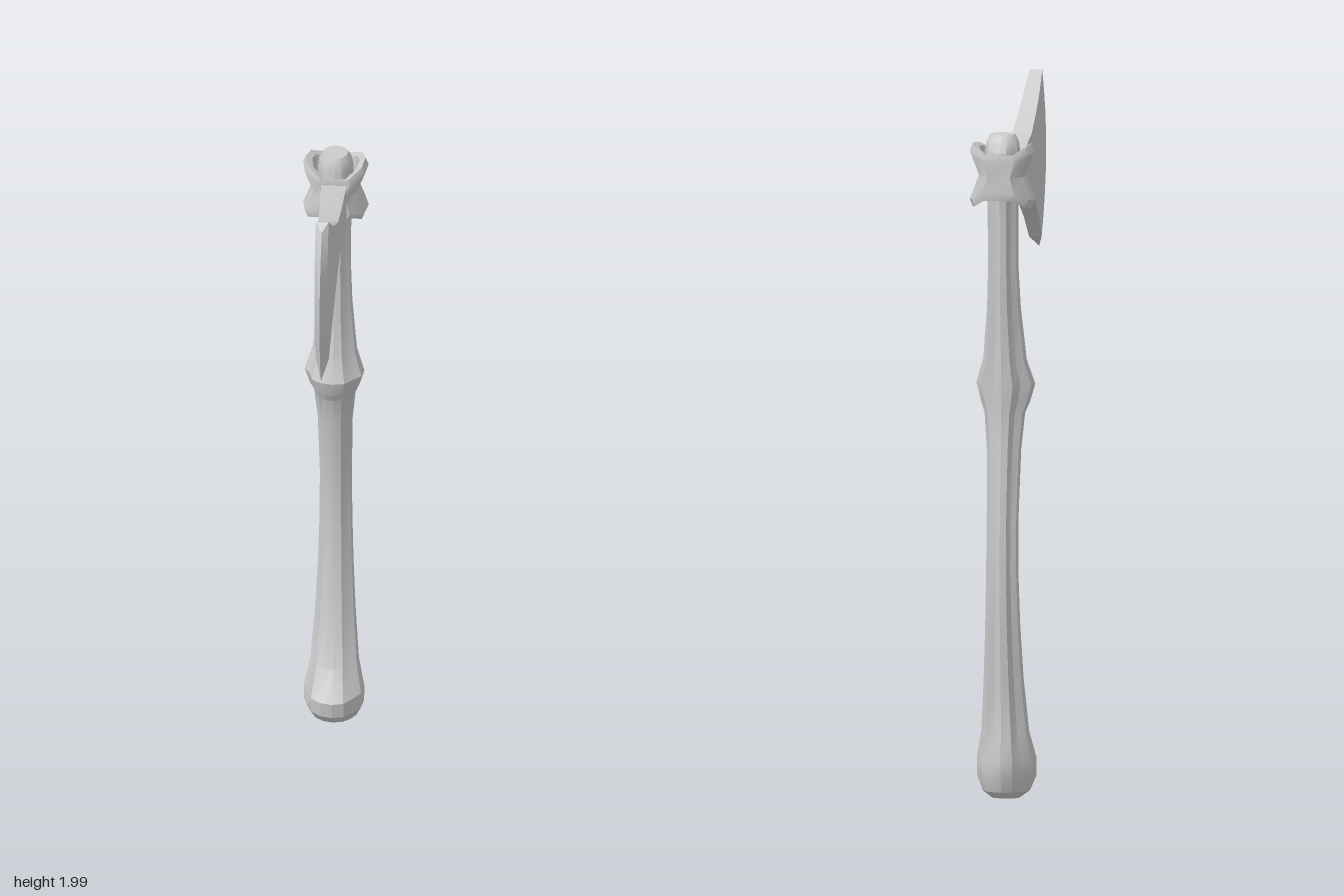
import * as THREE from 'three';
import { toCreasedNormals } from 'three/addons/utils/BufferGeometryUtils.js';

const material = new THREE.MeshStandardMaterial({ color: 0xcccccc });

// Skin a list of closed rings (equal point counts), optionally capping both ends.
function loft(rings, capped, crease) {
  const n = rings[0].length;
  const positions = rings.flat(2);
  const index = [];
  for (let i = 0; i < rings.length - 1; i++) {
    for (let j = 0; j < n; j++) {
      const a = i * n + j, b = i * n + (j + 1) % n;
      index.push(a, a + n, b, b, a + n, b + n);
    }
  }
  if (capped) {
    const top = (rings.length - 1) * n;
    for (let j = 1; j < n - 1; j++) {
      index.push(0, j, j + 1, top, top + j + 1, top + j);
    }
  }
  const geometry = new THREE.BufferGeometry();
  geometry.setAttribute('position', new THREE.Float32BufferAttribute(positions, 3));
  geometry.setIndex(index);
  return toCreasedNormals(geometry, crease);
}

function part(name, geometry) {
  const mesh = new THREE.Mesh(geometry, material);
  mesh.name = name;
  return mesh;
}

// Bent, knotted wooden handle with lengthwise grooves
function handle() {
  // y, front z, back z, half width
  const sections = [
    [0.01, -0.205, -0.26, 0.04],
    [0.03, -0.155, -0.29, 0.068],
    [0.07, -0.118, -0.308, 0.084],
    [0.12, -0.11, -0.315, 0.085],
    [0.2, -0.17, -0.3, 0.068],
    [0.35, -0.21, -0.31, 0.057],
    [0.5, -0.23, -0.32, 0.05],
    [0.65, -0.24, -0.325, 0.046],
    [0.8, -0.235, -0.32, 0.045],
    [1.0, -0.205, -0.305, 0.049],
    [1.1, -0.185, -0.3, 0.058],
    [1.13, -0.165, -0.302, 0.07],
    [1.18, -0.15, -0.305, 0.084],
    [1.25, -0.175, -0.304, 0.062],
    [1.4, -0.197, -0.315, 0.048],
    [1.52, -0.217, -0.316, 0.043],
    [1.68, -0.22, -0.322, 0.044],
    [1.84, -0.222, -0.33, 0.05],
    [1.87, -0.226, -0.318, 0.046],
    [1.89, -0.235, -0.3, 0.035],
  ];
  const sides = 16;
  const grooves = { 2: 0.9, 7: 0.86, 10: 0.84, 13: 0.82, 15: 0.88 };
  const rings = sections.map(([y, front, back, half]) => {
    const ring = [];
    // Grooves fade out at the two ends
    const depth = Math.min(1, y / 0.2, (1.9 - y) / 0.2);
    for (let j = 0; j < sides; j++) {
      const t = (j / sides) * Math.PI * 2;
      const r = 1 - (1 - (grooves[j] ?? 1)) * depth;
      ring.push([
        Math.cos(t) * half * r,
        y,
        (front + back) / 2 + Math.sin(t) * r * (front - back) / 2,
      ]);
    }
    return ring;
  });
  return part('handle', loft(rings, true, 0.4));
}

// Flaring axe blade, thinning to a curved sharp edge
function blade() {
  // top z, top y, bottom z, bottom y, forward bulge, half thickness
  const columns = [
    [-0.21, 1.82, -0.21, 1.725, 0, 0.036],
    [-0.075, 1.83, -0.075, 1.715, 0, 0.031],
    [0.02, 1.85, 0.02, 1.692, 0, 0.028],
    [0.11, 1.9, 0.1, 1.645, 0.01, 0.025],
    [0.18, 1.95, 0.17, 1.595, 0.03, 0.022],
    [0.24, 2.0, 0.23, 1.53, 0.065, 0.018],
    [0.265, 1.98, 0.29, 1.495, 0.068, 0],
  ];
  const rows = 8;
  const rings = columns.map(([zt, yt, zb, yb, bulge, half]) => {
    const edge = (x) => Array.from({ length: rows + 1 }, (_, k) => {
      const t = k / rows;
      const z = zb + (zt - zb) * t + bulge * (1 - (2 * t - 1) ** 2);
      return [x, yb + (yt - yb) * t, z];
    });
    return [...edge(-half), ...edge(half).reverse()];
  });
  return part('blade', loft(rings, false, 0.25));
}

// Collar around the handle: tall at the sides, waisted and hollow
function collar() {
  const right = [[0.045, -0.345], [0.08, -0.32], [0.092, -0.283], [0.084, -0.235], [0.044, -0.202]];
  const outline = [...right, ...right.map(([x, z]) => [-x, z]).reverse()];
  const centre = -0.273;
  const ring = (sx, sz, rise) => outline.map(([x, z]) => [
    x * sx,
    1.775 + rise * (0.04 + 0.05 * Math.abs(x) / 0.09),
    centre + (z - centre) * sz,
  ]);
  const inner = ring(0.72, 0.77, -0.9);
  return part('collar', loft([
    inner,
    ring(0.9, 0.97, -1),
    ring(1, 1, -0.75),
    ring(0.72, 0.93, 0),
    ring(1, 1, 0.75),
    ring(0.9, 0.97, 1),
    ring(0.72, 0.77, 0.9),
    inner,
  ], false, 0.6));
}

export function createModel() {
  const axe = new THREE.Group();
  axe.name = 'axe';
  axe.add(handle(), blade(), collar());
  return axe;
}
